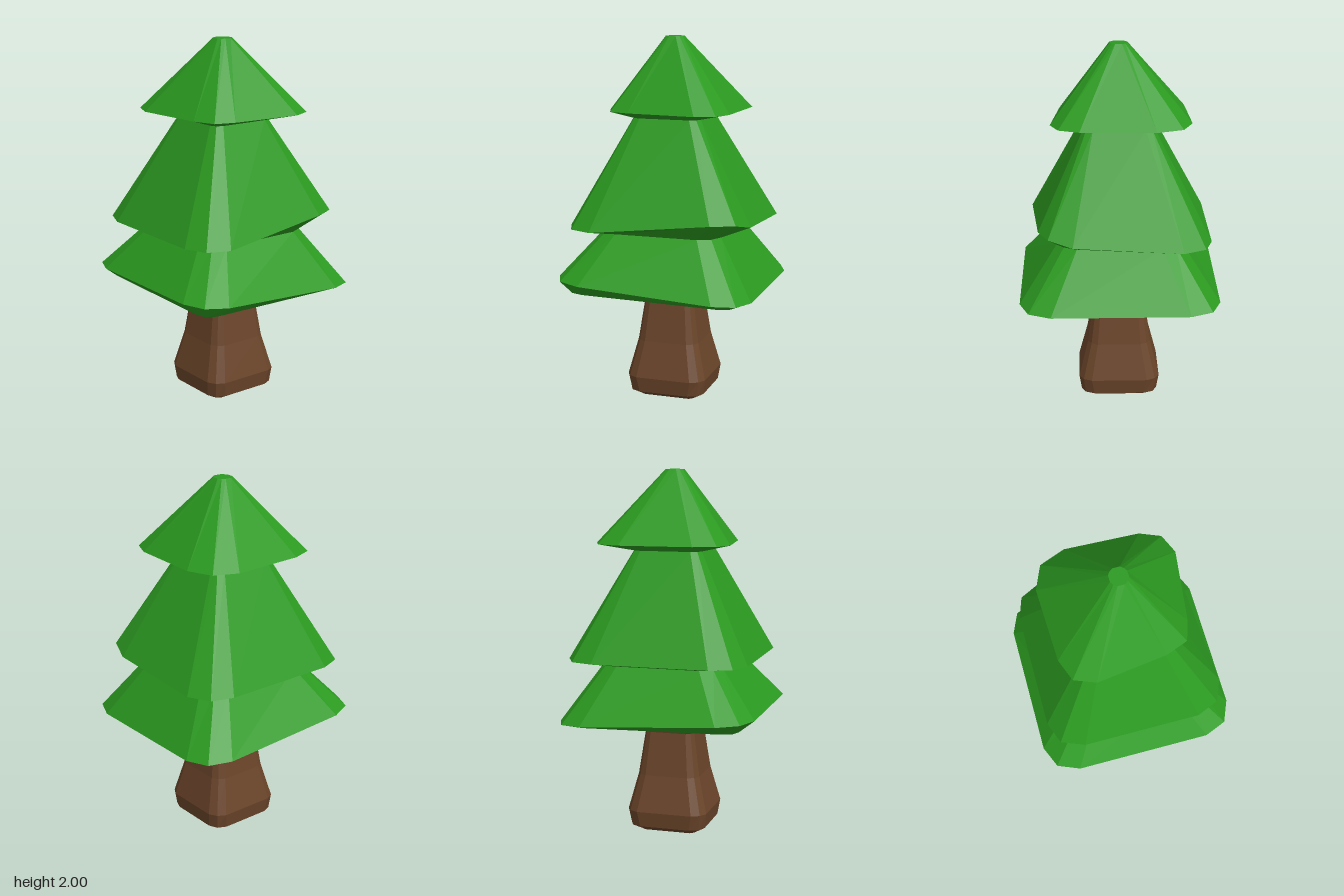
import * as THREE from 'three';

// Chamfered square of 12 points [x, y, z], counter-clockwise from above.
// w: half width, f: half length of the flat side, c: corner point, tilt: y offset by x, z
function ring(y, w, f, c, tilt = () => 0) {
  const pts = [];
  for (let k = 0; k < 4; k++) {
    for (let [x, z] of [[w, -f], [c, -c], [f, -w]]) {
      for (let r = 0; r < k; r++) [x, z] = [z, -x];
      pts.push([x, y + tilt(x, z), z]);
    }
  }
  return pts;
}

// Irregular ring from its plan outline
const outline = (y, plan) => plan.map(([x, z, lift = 0]) => [x, y + lift, z]);

// Skin a stack of rings (bottom to top) and cap both ends
function loft(name, rings, material) {
  const n = rings[0].length, pos = [];
  const centre = (r) => [0, 1, 2].map((k) => r.reduce((s, p) => s + p[k], 0) / n);
  const first = rings[0], last = rings[rings.length - 1];
  const bottom = centre(first), top = centre(last);
  for (let j = 0; j < n; j++) {
    const m = (j + 1) % n;
    for (let i = 0; i < rings.length - 1; i++) {
      const a = rings[i][j], b = rings[i][m], c = rings[i + 1][m], d = rings[i + 1][j];
      pos.push(...a, ...b, ...c, ...a, ...c, ...d);
    }
    pos.push(...bottom, ...first[m], ...first[j], ...top, ...last[j], ...last[m]);
  }
  const geometry = new THREE.BufferGeometry();
  geometry.setAttribute('position', new THREE.Float32BufferAttribute(pos, 3));
  geometry.computeVertexNormals();
  const mesh = new THREE.Mesh(geometry, material);
  mesh.name = name;
  return mesh;
}

export function createModel() {
  const tree = new THREE.Group();
  tree.name = 'pineTree';
  const bark = new THREE.MeshStandardMaterial({ color: 0x6b452a, flatShading: true });
  const needles = new THREE.MeshStandardMaterial({ color: 0x2b9a20, flatShading: true });

  // Trunk: swollen foot, narrow neck, square flare under the branches
  tree.add(loft('trunk', [
    ring(0, 0.15, 0.13, 0.14),
    ring(0.035, 0.212, 0.14, 0.19),
    ring(0.12, 0.225, 0.155, 0.2),
    ring(0.32, 0.175, 0.12, 0.155),
    ring(0.56, 0.14, 0.1, 0.125),
    ring(0.65, 0.162, 0.155, 0.162),
  ], bark));

  // Waists where one tier meets the next
  const lowerWaist = ring(0.955, 0.335, 0.23, 0.3);
  const upperWaist = ring(1.567, 0.19, 0.14, 0.175);

  // Lower tier: rim tilts up towards the front
  tree.add(loft('lowerBranches', [
    ring(0.636, 0.46, 0.38, 0.44, (x, z) => -0.014 * x + 0.02 * z),
    ring(0.68, 0.54, 0.37, 0.49, (x, z) => 0.06 * z),
    lowerWaist,
  ], needles));

  // Middle tier: back corner on +x is lifted and pulled in
  tree.add(loft('middleBranches', [
    lowerWaist,
    outline(0.988, [
      [0.435, -0.33, 0.065], [0.38, -0.455, 0.065], [0.25, -0.5, 0.035],
      [-0.33, -0.5], [-0.45, -0.44], [-0.49, -0.32],
      [-0.49, 0.32], [-0.445, 0.44], [-0.32, 0.49],
      [0.32, 0.49], [0.44, 0.44], [0.49, 0.32],
    ]),
    upperWaist,
  ], needles));

  // Top tier: skewed rim rising to a small blunt tip
  tree.add(loft('topBranches', [
    upperWaist,
    outline(1.608, [
      [0.365, -0.22], [0.32, -0.325], [0.21, -0.37],
      [-0.19, -0.385], [-0.33, -0.33], [-0.385, -0.2],
      [-0.37, 0.2], [-0.325, 0.32], [-0.21, 0.365],
      [0.165, 0.315], [0.285, 0.27], [0.32, 0.16],
    ]),
    ring(2, 0.048, 0.018, 0.036),
  ], needles));

  return tree;
}
